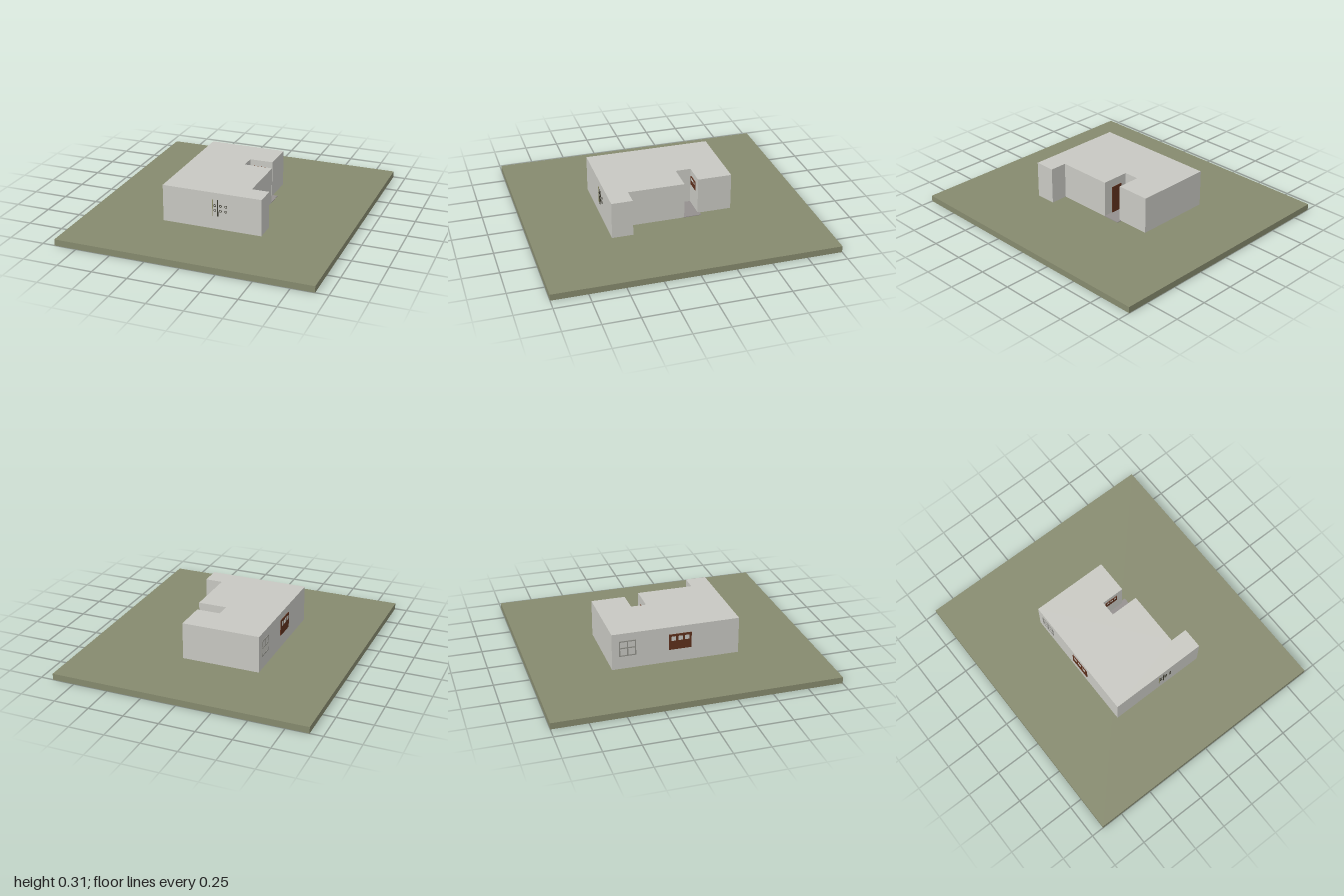
import * as THREE from 'three';

const mat = (name, color) => {
  const m = new THREE.MeshStandardMaterial({ color });
  m.name = name;
  return m;
};

export function createModel() {
  const grass = mat('olive ground', 0x868a6e);
  const wall = mat('pale wall', 0xc8c8c2);
  const stone = mat('porch stone', 0x938f8e);
  const brown = mat('brown wood', 0x5e301c);
  const grey = mat('grey frame', 0x92928c);
  const olive = mat('olive frame', 0x8c8b62);
  const dark = mat('dark iron', 0x3a382c);

  const model = new THREE.Group();
  model.name = 'house';

  // Box from its minimum and maximum corners
  const box = (name, material, a, b, parent = model) => {
    const mesh = new THREE.Mesh(
      new THREE.BoxGeometry(b[0] - a[0], b[1] - a[1], b[2] - a[2]), material);
    mesh.position.set((a[0] + b[0]) / 2, (a[1] + b[1]) / 2, (a[2] + b[2]) / 2);
    mesh.name = name;
    parent.add(mesh);
    return mesh;
  };

  // Ground slab and porch floor
  box('ground', grass, [-0.91, 0, -1], [0.91, 0.045, 1]);
  box('porchFloor', stone, [0.025, 0.044, -0.225], [0.237, 0.049, -0.095]);

  // House body: a flat-roofed plan with a recessed porch, pushed up from the ground
  const plan = [
    [-0.36, -0.455], [0.2, -0.455], [0.2, -0.21], [0.03, -0.21], [0.03, -0.1],
    [0.235, -0.1], [0.235, 0.305], [0.36, 0.305], [0.36, 0.455], [-0.36, 0.455],
  ];
  const shape = new THREE.Shape(plan.map(([x, z]) => new THREE.Vector2(x, -z)));
  const bodyGeometry = new THREE.ExtrudeGeometry(shape, { depth: 0.265, bevelEnabled: false });
  bodyGeometry.rotateX(-Math.PI / 2);
  const body = new THREE.Mesh(bodyGeometry, wall);
  body.position.y = 0.045;
  body.name = 'houseBody';
  model.add(body);

  // Wall fitting group: local +z points out of the wall
  const fitting = (name, x, y, z, turn) => {
    const g = new THREE.Group();
    g.name = name;
    g.position.set(x, y, z);
    g.rotation.y = turn;
    model.add(g);
    return g;
  };

  // Rectangular frame with one cross bar each way
  const frame = (g, material, w, h, t) => {
    for (const x of [-w / 2, -t / 2, w / 2 - t])
      box('upright', material, [x, -h / 2, 0], [x + t, h / 2, 0.004], g);
    for (const y of [-h / 2, 0, h / 2 - t])
      box('rail', material, [-w / 2, y, 0], [w / 2, y + t, 0.004], g);
  };

  // Panelled brown window with pale panes in the upper half
  const woodWindow = (name, x, y, z, turn, w, h) => {
    const g = fitting(name, x, y, z, turn);
    box('panel', brown, [-w / 2, -h / 2, 0], [w / 2, h / 2, 0.005], g);
    for (let i = 0; i < 3; i++) {
      const px = (i - 1) * w * 0.3;
      box('pane', wall, [px - w * 0.1, h * 0.08, 0.004], [px + w * 0.1, h * 0.36, 0.006], g);
    }
  };

  // Left wall windows
  woodWindow('leftWindow', -0.36, 0.197, 0.03, -Math.PI / 2, 0.16, 0.115);
  frame(fitting('smallLeftWindow', -0.36, 0.197, -0.345, -Math.PI / 2), grey, 0.12, 0.115, 0.008);

  // Porch window and door
  woodWindow('porchWindow', 0.1, 0.232, -0.21, 0, 0.1, 0.065);
  const door = fitting('porchDoor', 0.12, 0.15, -0.1, Math.PI);
  box('doorLeaf', brown, [-0.045, -0.1, 0], [0.045, 0.1, 0.005], door);
  box('doorHandle', dark, [0.03, -0.01, 0.004], [0.036, 0.005, 0.009], door);

  // Front window grille with rings
  const grille = fitting('frontGrille', 0.06, 0.2, 0.455, 0);
  box('sideBar', olive, [-0.053, -0.06, 0], [-0.048, 0.06, 0.004], grille);
  box('middleBar', dark, [-0.017, -0.06, 0], [-0.011, 0.06, 0.005], grille);
  for (const x of [-0.036, 0.006, 0.044])
    for (const y of [-0.018, 0.018]) {
      const ring = new THREE.Mesh(new THREE.TorusGeometry(0.008, 0.002, 4, 10), dark);
      ring.position.set(x, y, 0.002);
      ring.name = 'grilleRing';
      grille.add(ring);
    }
  return model;
}
